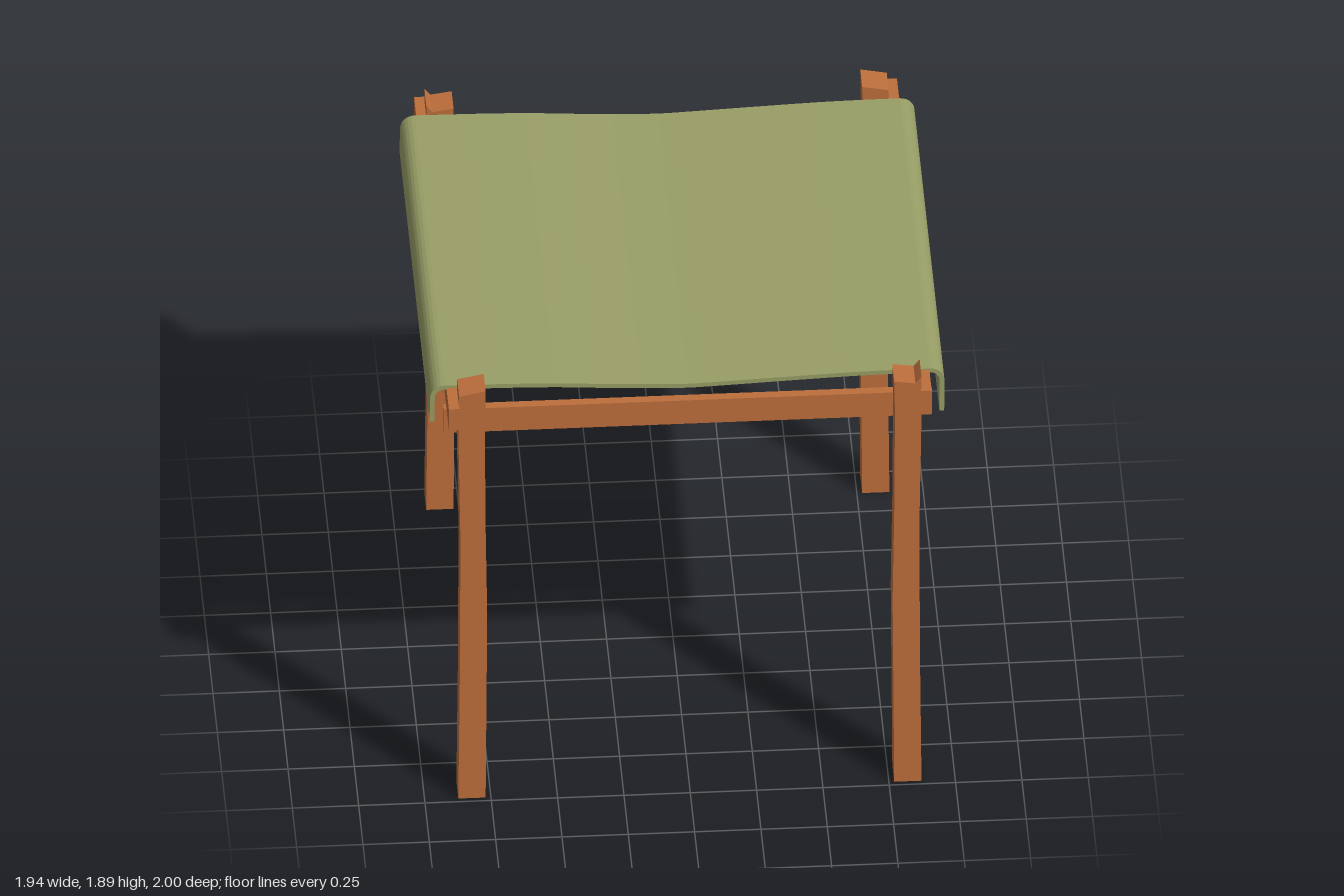
import * as THREE from 'three';

const wood = new THREE.MeshStandardMaterial({ color: 0xbd6e3c, flatShading: true });
const cloth = new THREE.MeshStandardMaterial({ color: 0x989e66, flatShading: true });

// Extrudes an outline in the x-y plane, centred on z
function slab(points, depth) {
  const shape = new THREE.Shape(points.map(([x, y]) => new THREE.Vector2(x, y)));
  return new THREE.ExtrudeGeometry(shape, { depth, bevelEnabled: false }).translate(0, 0, -depth / 2);
}

export function createModel() {
  const group = new THREE.Group();
  const add = (name, geometry, material, x = 0, y = 0, z = 0, turn = 0) => {
    const mesh = new THREE.Mesh(geometry, material);
    mesh.name = name;
    mesh.position.set(x, y, z);
    mesh.rotation.y = turn;
    group.add(mesh);
    return mesh;
  };

  // Slightly wavy hewn legs; diagonal pairs share a cut
  const sides = [[0.873, 0], [0.867, 0.6], [0.865, 1.2], [0.873, 1.7]];
  const inner = [[0.773, 1.7], [0.77, 1.25], [0.764, 0.85], [0.77, 0]];
  const notched = slab([...sides, [0.873, 1.88], [0.85, 1.85], [0.77, 1.862], ...inner], 0.112);
  const sloped = slab([...sides, [0.87, 1.87], [0.77, 1.89], ...inner], 0.112);
  // Front right, back left, front left, back right
  const legZ = 0.924;
  for (const s of [1, -1]) {
    const turn = s > 0 ? 0 : Math.PI;
    add('notchedLeg', notched, wood, 0, 0, s * legZ, turn);
    add('slopedLeg', sloped, wood, 0, 0, -s * legZ, turn);
  }

  // Cross rails inside the legs, side rails outside them
  for (const s of [1, -1]) {
    add('crossRail', new THREE.BoxGeometry(1.84, 0.108, 0.036), wood, 0, 1.676, s * 0.85);
    add('sideRail', new THREE.BoxGeometry(0.04, 0.098, 2), wood, s * 0.89, 1.778, 0);
  }

  // Sagging cloth seat: offset a centre line to both sides and extrude
  const sag = new THREE.SplineCurve([
    [-0.7, 1.828], [-0.5, 1.822], [-0.3, 1.809], [-0.12, 1.8], [0, 1.796],
    [0.12, 1.8], [0.35, 1.81], [0.6, 1.82], [0.75, 1.823],
  ].map(([x, y]) => new THREE.Vector2(x, y))).getPoints(24);
  const bend = (cx, cy, r, from, to) => Array.from({ length: 7 }, (_, i) => {
    const a = from + (to - from) * i / 6;
    return new THREE.Vector2(cx + r * Math.cos(a), cy + r * Math.sin(a));
  });
  const line = [
    new THREE.Vector2(-0.965, 1.675),
    ...bend(-0.917, 1.785, 0.046, Math.PI, Math.PI / 2),
    ...sag,
    ...bend(0.912, 1.778, 0.046, Math.PI / 2, 0),
    new THREE.Vector2(0.957, 1.635),
  ];
  const offset = (d) => line.map((p, i) => {
    const a = line[Math.max(i - 1, 0)], b = line[Math.min(i + 1, line.length - 1)];
    const t = b.clone().sub(a).normalize();
    return [p.x - t.y * d, p.y + t.x * d];
  });
  add('clothSeat', slab([...offset(0.009), ...offset(-0.009).reverse()], 1.73), cloth);

  return group;
}
